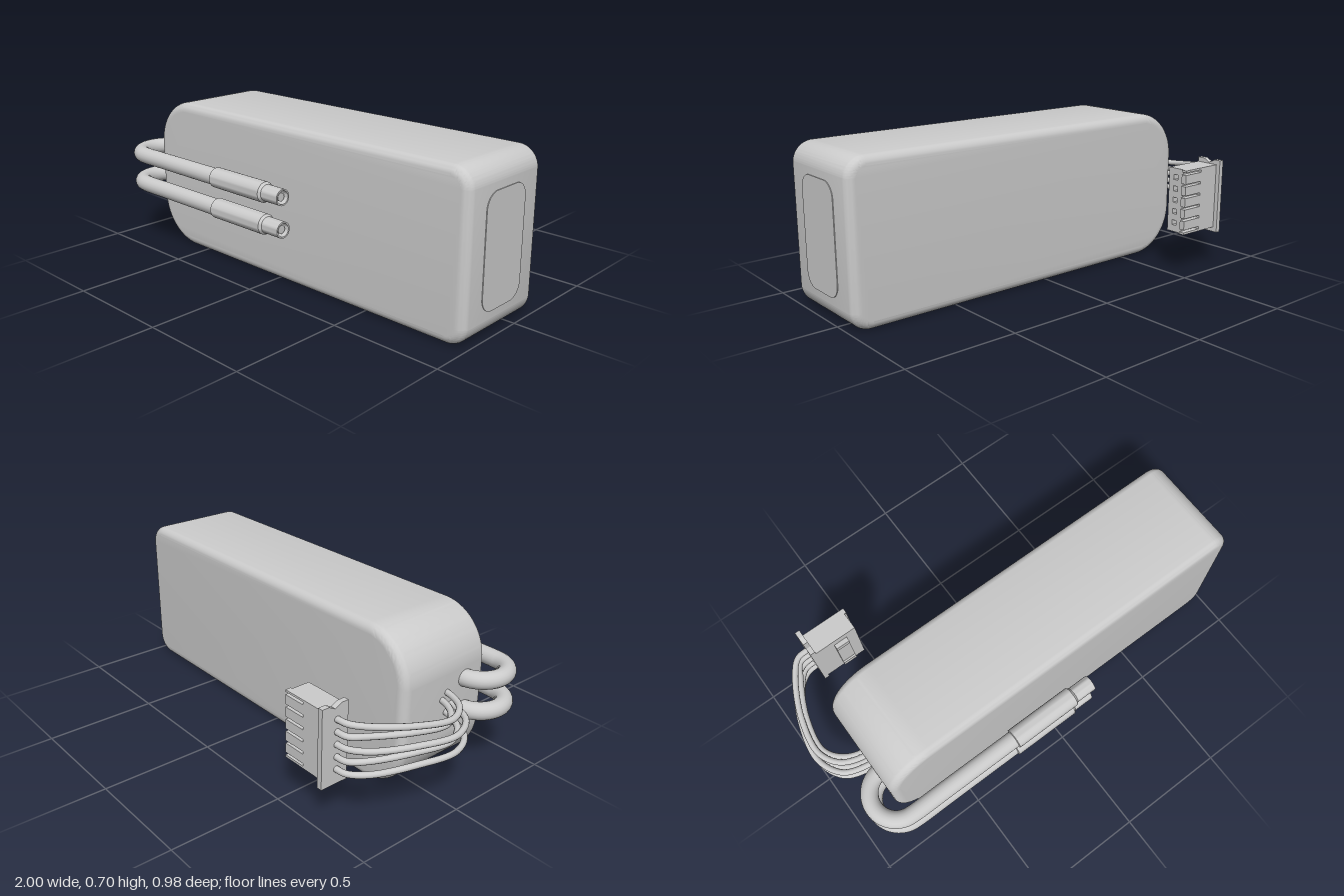
import * as THREE from 'three';
import { toCreasedNormals } from 'three/addons/utils/BufferGeometryUtils.js';

const V = (x, y, z) => new THREE.Vector3(x, y, z);

function roundedRect(x0, y0, x1, y1, rLeft, rRight) {
  const s = new THREE.Shape();
  s.moveTo(x0 + rLeft, y0);
  s.lineTo(x1 - rRight, y0);
  s.absarc(x1 - rRight, y0 + rRight, rRight, -Math.PI / 2, 0);
  s.lineTo(x1, y1 - rRight);
  s.absarc(x1 - rRight, y1 - rRight, rRight, 0, Math.PI / 2);
  s.lineTo(x0 + rLeft, y1);
  s.absarc(x0 + rLeft, y1 - rLeft, rLeft, Math.PI / 2, Math.PI);
  s.lineTo(x0, y0 + rLeft);
  s.absarc(x0 + rLeft, y0 + rLeft, rLeft, Math.PI, Math.PI * 1.5);
  return s;
}

function polygon(points) {
  return new THREE.Shape(points.map(([x, y]) => new THREE.Vector2(x, y)));
}

// Extrudes a shape drawn in (-z, y) along +x, from x0 to x1
function extrudeX(shape, x0, x1) {
  const g = new THREE.ExtrudeGeometry(shape, { depth: x1 - x0, bevelEnabled: false, curveSegments: 12 });
  return g.rotateY(Math.PI / 2).translate(x0, 0, 0);
}

export function createModel() {
  const model = new THREE.Group();
  model.name = 'batteryPack';
  const material = new THREE.MeshStandardMaterial({ color: 0xcccccc });
  const add = (name, geometry, parent = model) => {
    const mesh = new THREE.Mesh(geometry, material);
    mesh.name = name;
    parent.add(mesh);
    return mesh;
  };
  const box = (name, x0, x1, y0, y1, z0, z1, parent) =>
    add(name, new THREE.BoxGeometry(x1 - x0, y1 - y0, z1 - z0)
      .translate((x0 + x1) / 2, (y0 + y1) / 2, (z0 + z1) / 2), parent);

  // Pack body: large corner rounds on the wire end, small ones on the far end
  const bevel = 0.04;
  const body = new THREE.ExtrudeGeometry(
    roundedRect(-0.81 + bevel, bevel, 0.997 - bevel, 0.7 - bevel, 0.18, 0.05),
    { depth: 0.472 - 2 * bevel, bevelThickness: bevel, bevelSize: bevel, bevelSegments: 8, curveSegments: 16 });
  body.translate(0, 0, -0.13 + bevel);
  add('body', toCreasedNormals(body, 0.6));

  // Thin panel on the far end
  add('endPanel', extrudeX(roundedRect(-0.235, 0.112, 0.02, 0.588, 0.065, 0.065), 0.99, 1));

  // Two main leads: a U-turn out of the body, then a straight run to a plug
  const bend = 0.115, bendX = -0.785, bendZ = 0.33;
  const plugProfile = [[0.036, 0], [0.045, 0.003], [0.045, 0.315], [0.036, 0.325], [0.036, 0.42],
    [0.029, 0.42], [0.029, 0.35], [0.018, 0.35], [0.018, 0.41], [0, 0.41]]
    .map(([r, h]) => new THREE.Vector2(r, h));
  for (const [label, y] of [['upper', 0.436], ['lower', 0.295]]) {
    const lead = new THREE.Group();
    lead.name = label + 'Lead';
    model.add(lead);
    const path = [V(-0.7, y, bendZ - bend)];
    for (let i = 0; i <= 12; i++) {
      const a = (i / 12) * Math.PI;
      path.push(V(bendX - bend * Math.sin(a), y, bendZ - bend * Math.cos(a)));
    }
    path.push(V(-0.6, y, bendZ + bend), V(-0.25, y, bendZ + bend));
    add('leadWire', new THREE.TubeGeometry(new THREE.CatmullRomCurve3(path), 90, 0.038, 20), lead);
    const plug = toCreasedNormals(new THREE.LatheGeometry(plugProfile, 32), 0.6);
    plug.rotateZ(-Math.PI / 2).translate(-0.26, y, bendZ + bend);
    add('leadPlug', plug, lead);
  }

  const connector = new THREE.Group();
  connector.name = 'balanceConnector';
  model.add(connector);
  const pinY = [0, 1, 2, 3, 4].map(i => 0.238 + i * 0.0538);

  // Housing with square pin sockets open at the far end
  const housing = polygon([[0.363, 0.195], [0.445, 0.195], [0.445, 0.495], [0.363, 0.495]]);
  for (const y of pinY) {
    housing.holes.push(new THREE.Path(
      [[0.39, y - 0.012], [0.39, y + 0.012], [0.414, y + 0.012], [0.414, y - 0.012]]
        .map(([u, v]) => new THREE.Vector2(u, v))));
  }
  add('housing', extrudeX(housing, -0.73, -0.525), connector);

  // Slotted back plate, drawn as a comb open toward the far end
  const comb = [[-0.73, 0.195], [-0.515, 0.195]];
  for (let i = 0; i < 6; i++) {
    const y = 0.211 + i * 0.0538;
    comb.push([-0.515, y - 0.006], [-0.62, y - 0.006], [-0.62, y + 0.006], [-0.515, y + 0.006]);
  }
  comb.push([-0.515, 0.495], [-0.73, 0.495]);
  add('slottedPlate', new THREE.ExtrudeGeometry(polygon(comb), { depth: 0.025, bevelEnabled: false })
    .translate(0, 0, -0.47), connector);

  // Flange with a V notch in its top edge
  add('flange', extrudeX(polygon([[0.363, 0.172], [0.49, 0.172], [0.49, 0.516], [0.457, 0.516],
    [0.428, 0.5], [0.398, 0.516], [0.363, 0.516]]), -0.75, -0.727), connector);

  // Latch bar with raised ends
  box('latchBar', -0.64, -0.575, 0.235, 0.457, -0.365, -0.35, connector);
  box('latchEnd', -0.64, -0.575, 0.235, 0.26, -0.365, -0.341, connector);
  box('latchEnd', -0.64, -0.575, 0.432, 0.457, -0.365, -0.341, connector);

  // Thin balance wires, fanning from the body to the sockets
  const exits = [[0.275, 0.14], [0.315, 0.112], [0.345, 0.14], [0.378, 0.085], [0.405, 0.112]];
  exits.forEach(([y, z], i) => {
    const t = (0.14 - z) / 0.055; // 0 = outermost, 1 = innermost
    const at = f => y + (pinY[i] - y) * f;
    const path = new THREE.CatmullRomCurve3([
      V(-0.76, y, z), V(-0.82, y, z),
      V(-0.925 + 0.03 * t, at(0.05) - 0.005, z - 0.04),
      V(-0.98 + 0.04 * t, at(0.1) - 0.01, -0.01 - 0.02 * t),
      V(-0.95 + 0.035 * t, at(0.35), -0.19),
      V(-0.87 + 0.03 * t, at(0.8), -0.35),
      V(-0.8, at(1), -0.41), V(-0.735, at(1), -0.418)]);
    add('balanceWire', new THREE.TubeGeometry(path, 60, 0.0135, 12));
  });
  return model;
}
